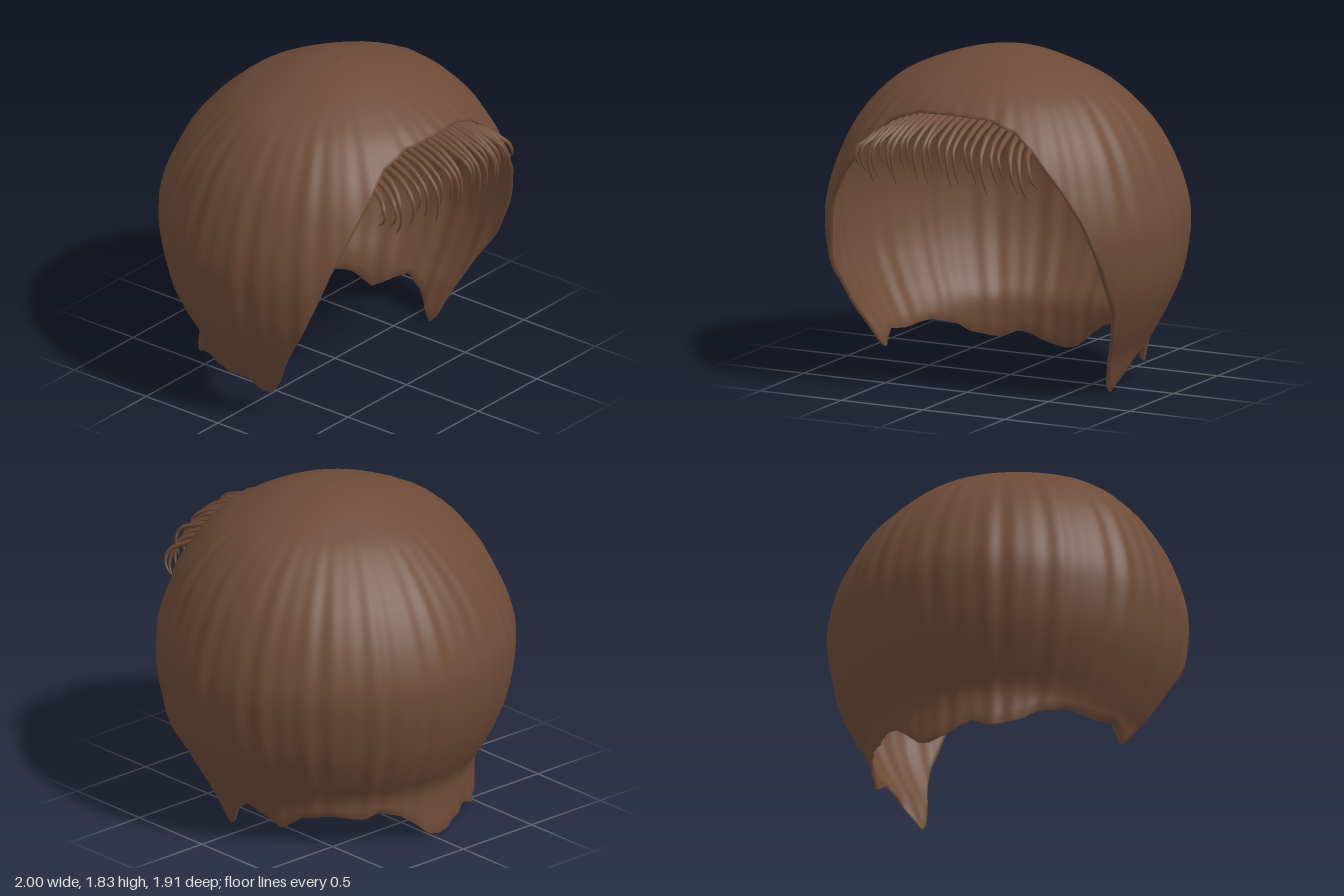
import * as THREE from 'three';

// Profile from crown to hem: x = side/front radius, y = height, z = back radius
const profile = new THREE.CatmullRomCurve3([
  [0, 1.83, 0], [0.22, 1.8, 0.2], [0.5, 1.7, 0.41], [0.665, 1.6, 0.56],
  [0.84, 1.4, 0.76], [0.935, 1.2, 0.88], [0.99, 1.0, 0.945], [1.0, 0.85, 0.95],
  [0.965, 0.6, 0.9], [0.88, 0.4, 0.81], [0.82, 0.29, 0.745], [0.765, 0.2, 0.73], [0.69, 0, 0.75], [0.67, -0.06, 0.76],
].map(p => new THREE.Vector3(...p)));

// Hem height by azimuth in degrees (0 = front, 90 = +x)
const faceEdge = [[0, 1.57], [18, 1.56], [30, 1.5], [36.7, 1.4], [41, 1.3], [45.4, 1.2],
  [52, 1.0], [55.5, 0.85], [61.7, 0.6], [67.8, 0.4]];
const hem = [
  ...faceEdge, [73, 0.19], [77, 0.04], [80, 0], [83, 0.03], [90, 0.14], [97, 0.2], [106, 0.14],
  [113, 0.09], [122, 0.17], [135, 0.185], [148, 0.16], [155, 0.19], [164, 0.16], [172, 0.09],
  [179, 0.015], [184, 0], [189, 0.012], [195, 0.04], [204, 0.09], [212, 0.05], [217, 0.06],
  [226, 0.09], [232, 0.14], [245, 0.18], [260, 0.16], [270, 0.18], [277, 0.12], [281, 0.11], [286, 0.2],
  ...faceEdge.map(([a, y]) => [360 - a, y]).reverse(),
];

function hemHeight(deg) {
  const i = Math.max(1, hem.findIndex(h => h[0] >= deg));
  const [a0, y0] = hem[i - 1], [a1, y1] = hem[i];
  return THREE.MathUtils.lerp(y0, y1, (deg - a0) / (a1 - a0));
}

// Curve parameter at which the profile reaches a height
function paramAt(y) {
  let lo = 0, hi = 1;
  for (let k = 0; k < 22; k++) {
    const mid = (lo + hi) / 2;
    if (profile.getPoint(mid).y > y) lo = mid; else hi = mid;
  }
  return lo;
}

// Thin ribbed shell: each column runs down the outside and back up the inside
function shellGeometry(columns = 288, rows = 36) {
  const pos = [], index = [], n = 2 * (rows + 1);
  for (let j = 0; j < columns; j++) {
    const phi = j / columns * Math.PI * 2;
    const end = paramAt(hemHeight(j / columns * 360));
    const back = THREE.MathUtils.smoothstep(-Math.cos(phi), -0.1, 0.9);
    const rib = 0.004 * Math.sin(46 * phi) + 0.004 * Math.sin(29 * phi + 1) - 0.004;
    for (let i = 0; i < n; i++) {
      const inner = i > rows, u = (inner ? n - 1 - i : i) / rows;
      const p = profile.getPoint(u * end);
      let r = THREE.MathUtils.lerp(p.x, p.z, back);
      r *= 1 + rib * THREE.MathUtils.smoothstep(r, 0.2, 0.9);
      if (inner) r *= 0.975;
      const y = p.y - (inner ? 0.02 * (1 - u) : 0);
      const shift = 0.04 * THREE.MathUtils.smoothstep(p.y, 1.65, 1.83);
      pos.push(r * Math.sin(phi), y, r * Math.cos(phi) + shift);
      if (i < n - 1) {
        const a = j * n + i, b = ((j + 1) % columns) * n + i;
        index.push(a, a + 1, b, b, a + 1, b + 1);
      }
    }
  }
  const g = new THREE.BufferGeometry();
  g.setAttribute('position', new THREE.Float32BufferAttribute(pos, 3));
  g.setIndex(index);
  g.computeVertexNormals();
  return g;
}

// Tube that narrows to a fine tip
function strandGeometry(points, radius) {
  const segs = 20, sides = 7;
  const curve = new THREE.CatmullRomCurve3(points);
  const g = new THREE.TubeGeometry(curve, segs, radius, sides);
  const p = g.attributes.position, v = new THREE.Vector3();
  for (let i = 0; i <= segs; i++) {
    const c = curve.getPointAt(i / segs), k = 1 - 0.85 * Math.pow(i / segs, 1.6);
    for (let s = 0; s <= sides; s++) {
      const id = i * (sides + 1) + s;
      v.fromBufferAttribute(p, id).sub(c).multiplyScalar(k).add(c);
      p.setXYZ(id, v.x, v.y, v.z);
    }
  }
  g.computeVertexNormals();
  return g;
}

export function createModel() {
  const group = new THREE.Group();
  group.name = 'bobWig';
  const brown = new THREE.MeshStandardMaterial({ color: 0x6e4b38 });
  brown.name = 'brown hair';

  const shell = new THREE.Mesh(shellGeometry(), brown);
  shell.name = 'hairShell';
  group.add(shell);

  // Fringe: strands arch forward from the hairline, then curl down
  const fringe = new THREE.Group();
  fringe.name = 'fringe';
  const count = 23;
  for (let i = 0; i < count; i++) {
    const s = i / (count - 1) * 2 - 1;
    const vary = Math.sin(i * 2.4), x = s * 0.46;
    const rootY = 1.56 - 0.13 * s * s, reach = 0.93 - 0.15 * s * s + 0.015 * vary;
    const tipY = 1.265 - 0.07 * s * s + 0.05 * Math.sin(i * 1.7 + 1);
    const rootZ = 0.66 - 0.01 * s * s;
    const strand = new THREE.Mesh(strandGeometry([
      new THREE.Vector3(x, rootY + 0.005, rootZ - 0.03),
      new THREE.Vector3(x * 1.06, rootY - 0.04, THREE.MathUtils.lerp(rootZ, reach, 0.5)),
      new THREE.Vector3(x * 1.14, THREE.MathUtils.lerp(rootY, tipY, 0.4), reach - 0.01),
      new THREE.Vector3(x * 1.17 + 0.01, THREE.MathUtils.lerp(rootY, tipY, 0.72), reach),
      new THREE.Vector3(x * 1.17 + 0.02, tipY, reach - 0.02 - 0.03 * s * s),
    ], 0.018), brown);
    strand.name = 'fringeStrand';
    fringe.add(strand);
  }
  group.add(fringe);
  return group;
}
